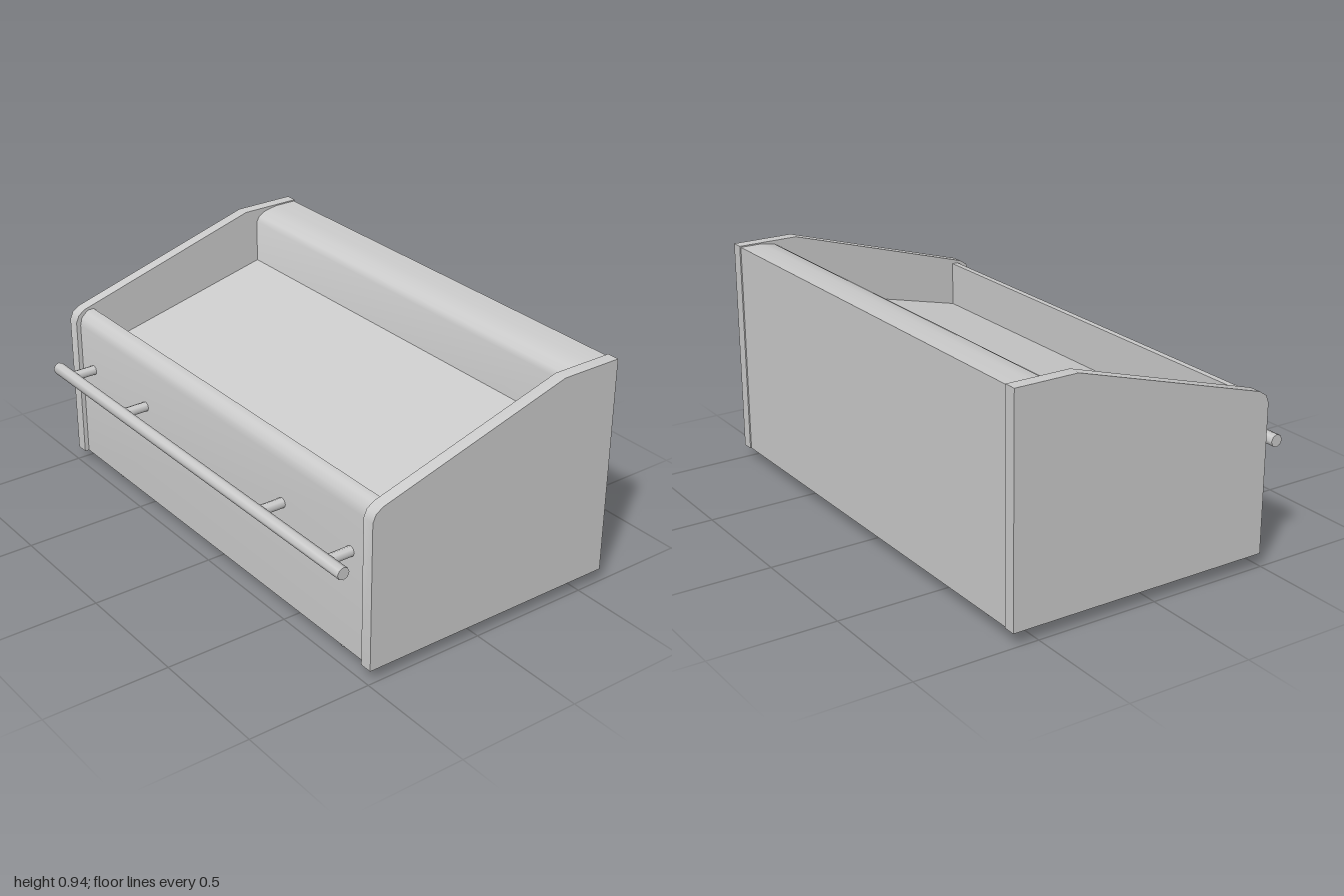
import * as THREE from 'three';
import { toCreasedNormals } from 'three/addons/utils/BufferGeometryUtils.js';

const material = new THREE.MeshStandardMaterial({ color: 0xcccccc });

function addMesh(group, name, geometry, x = 0, y = 0, z = 0) {
  const mesh = new THREE.Mesh(geometry, material);
  mesh.name = name;
  mesh.position.set(x, y, z);
  group.add(mesh);
  return mesh;
}

// Sweeps a (z, y) side profile across the width, centred on x = 0.
function profileGeometry(points, width) {
  const shape = new THREE.Shape(points.map(([z, y]) => new THREE.Vector2(z, y)));
  const geometry = new THREE.ExtrudeGeometry(shape, { depth: width, bevelEnabled: false });
  geometry.rotateY(-Math.PI / 2);
  geometry.translate(width / 2, 0, 0);
  return toCreasedNormals(geometry, 0.6);
}

export function createModel() {
  const model = new THREE.Group();
  model.name = 'displayCounter';

  const innerWidth = 1.9;
  const baseY = 0.055;

  // Side panels with a sloping top and softened front corner
  const sideProfile = [
    [-0.605, baseY], [0.493, baseY], [0.493, 0.65], [0.48, 0.68],
    [0.45, 0.70], [-0.35, 0.935], [-0.605, 0.935],
  ];
  for (const [name, side] of [['leftSidePanel', 1], ['rightSidePanel', -1]]) {
    addMesh(model, name, profileGeometry(sideProfile, 0.05), side * 0.975);
  }

  // Thick back with a rounded front shoulder
  addMesh(model, 'backColumn', profileGeometry([
    [-0.6, baseY], [-0.405, baseY], [-0.405, 0.88], [-0.418, 0.902],
    [-0.45, 0.92], [-0.507, 0.93], [-0.6, 0.93],
  ], innerWidth));

  // Sloping display deck with a slightly recessed floor
  addMesh(model, 'displayDeck', profileGeometry([
    [-0.405, 0.065], [0.41, 0.065], [0.41, 0.51], [-0.405, 0.705],
  ], innerWidth));

  // Front panel with a bevelled top lip
  addMesh(model, 'frontPanel', profileGeometry([
    [0.41, baseY], [0.475, baseY], [0.475, 0.635], [0.467, 0.667],
    [0.445, 0.687], [0.435, 0.693], [0.41, 0.693],
  ], innerWidth));

  // Handrail along the front
  const railY = 0.468;
  const rail = new THREE.CylinderGeometry(0.025, 0.025, 1.92, 8);
  rail.rotateZ(Math.PI / 2);
  addMesh(model, 'handrail', toCreasedNormals(rail, 1), 0, railY, 0.582);

  // Handrail brackets
  const bracket = new THREE.CylinderGeometry(0.02, 0.02, 0.1, 8);
  bracket.rotateX(Math.PI / 2);
  for (const x of [-0.86, -0.46, 0.46, 0.86]) {
    addMesh(model, 'railBracket', bracket, x, railY, 0.522);
  }

  // Feet
  const foot = new THREE.CylinderGeometry(0.02, 0.02, 0.07, 8);
  for (const x of [-0.76, 0.76]) {
    for (const z of [0.413, -0.525]) addMesh(model, 'foot', foot, x, 0.035, z);
  }

  return model;
}
